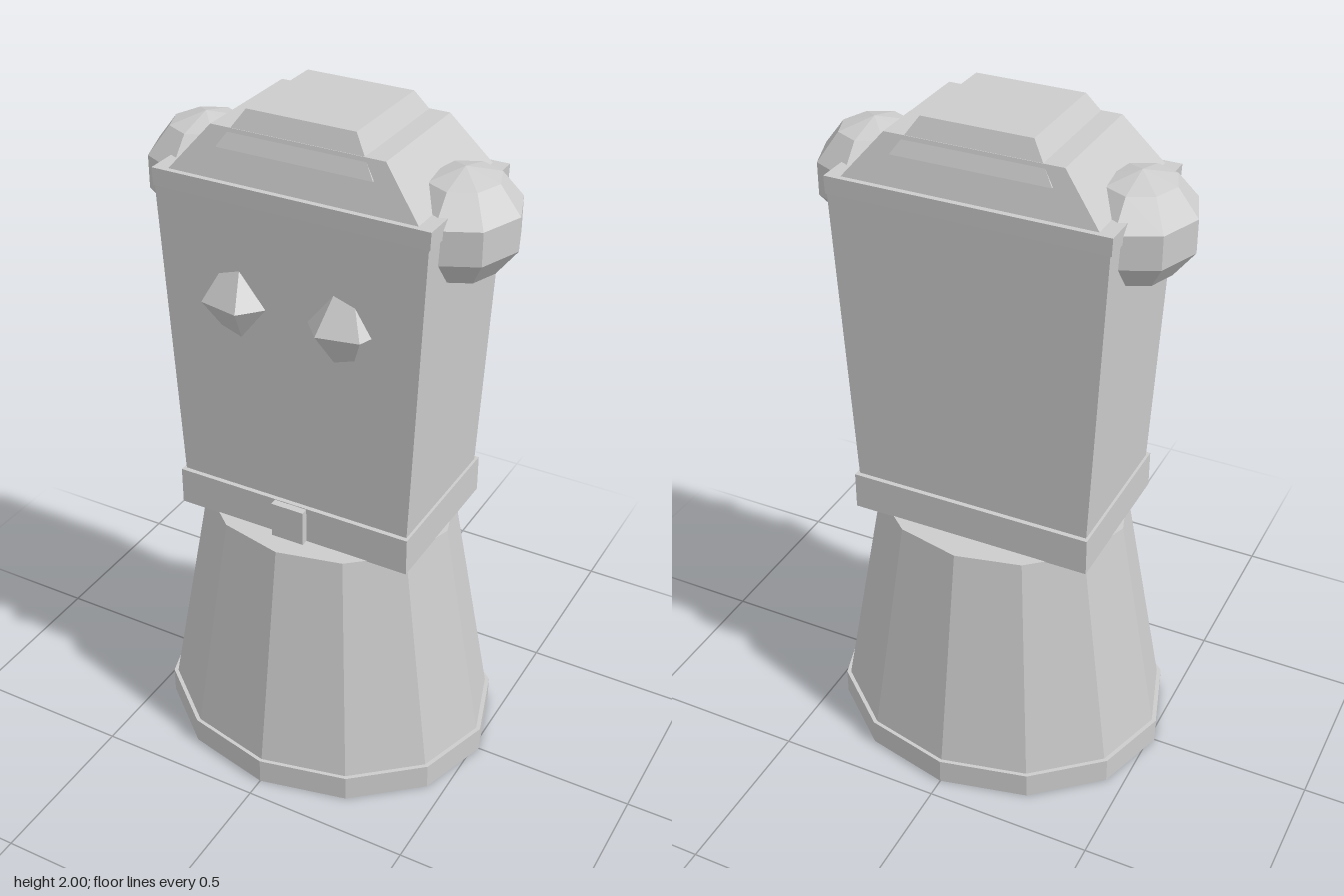
import * as THREE from 'three';

const stone = new THREE.MeshStandardMaterial({ color: 0xcccccc });
stone.name = 'light grey';

// Faceted mesh: split the faces so each gets its own flat normal
function part(name, geometry) {
  const flat = geometry.index ? geometry.toNonIndexed() : geometry;
  flat.computeVertexNormals();
  const mesh = new THREE.Mesh(flat, stone);
  mesh.name = name;
  return mesh;
}

// Box between heights y0 and y1 with half sizes [x, z] at the bottom and top
function taperedBox(name, y0, y1, bottom, top) {
  const geometry = new THREE.BoxGeometry(2, 1, 2);
  const p = geometry.attributes.position;
  for (let i = 0; i < p.count; i++) {
    const upper = p.getY(i) > 0;
    const [hx, hz] = upper ? top : bottom;
    p.setXYZ(i, p.getX(i) * hx, upper ? y1 : y0, p.getZ(i) * hz);
  }
  return part(name, geometry);
}

// Twelve-sided oval drum, oval ratio set by depth
function drum(name, y0, y1, r0, r1, depth) {
  const geometry = new THREE.CylinderGeometry(r1, r0, y1 - y0, 12);
  geometry.scale(1, 1, depth).translate(0, (y0 + y1) / 2, 0);
  return part(name, geometry);
}

export function createModel() {
  const model = new THREE.Group();
  model.name = 'figure';

  // Foot ring and flared skirt
  model.add(drum('footRing', 0, 0.08, 0.518, 0.518, 0.853));
  model.add(drum('skirt', 0.08, 0.78, 0.505, 0.378, 0.853));

  // Belt and buckle
  model.add(taperedBox('belt', 0.778, 0.89, [0.363, 0.235], [0.363, 0.235]));
  const buckle = taperedBox('buckle', 0.78, 0.888, [0.05, 0.015], [0.05, 0.015]);
  buckle.position.z = 0.242;
  model.add(buckle);

  // Body widening to the rim
  model.add(taperedBox('body', 0.89, 1.775, [0.355, 0.221], [0.396, 0.232]));
  model.add(taperedBox('rim', 1.77, 1.82, [0.4, 0.234], [0.402, 0.234]));

  // Stepped cap
  model.add(taperedBox('lowerCap', 1.82, 1.95, [0.36, 0.218], [0.25, 0.18]));
  model.add(taperedBox('upperCap', 1.9, 2, [0.225, 0.2], [0.157, 0.157]));

  // Side knobs and gem-shaped eyes
  const eyeProfile = [[0, -0.108], [0.052, -0.1], [0.12, 0], [0.052, 0.1], [0, 0.108]]
    .map(([r, y]) => new THREE.Vector2(r, y));
  for (const side of [1, -1]) {
    const name = side > 0 ? 'left' : 'right';
    const knob = new THREE.SphereGeometry(1, 8, 5);
    knob.scale(0.163, 0.152, 0.184).translate(side * 0.38, 1.747, 0);
    model.add(part(name + 'Knob', knob));

    const eye = new THREE.LatheGeometry(eyeProfile, 6);
    eye.rotateY(Math.PI / 6 + side * 0.2).translate(side > 0 ? 0.15 : -0.165, 1.483, 0.178);
    model.add(part(name + 'Eye', eye));
  }
  return model;
}
